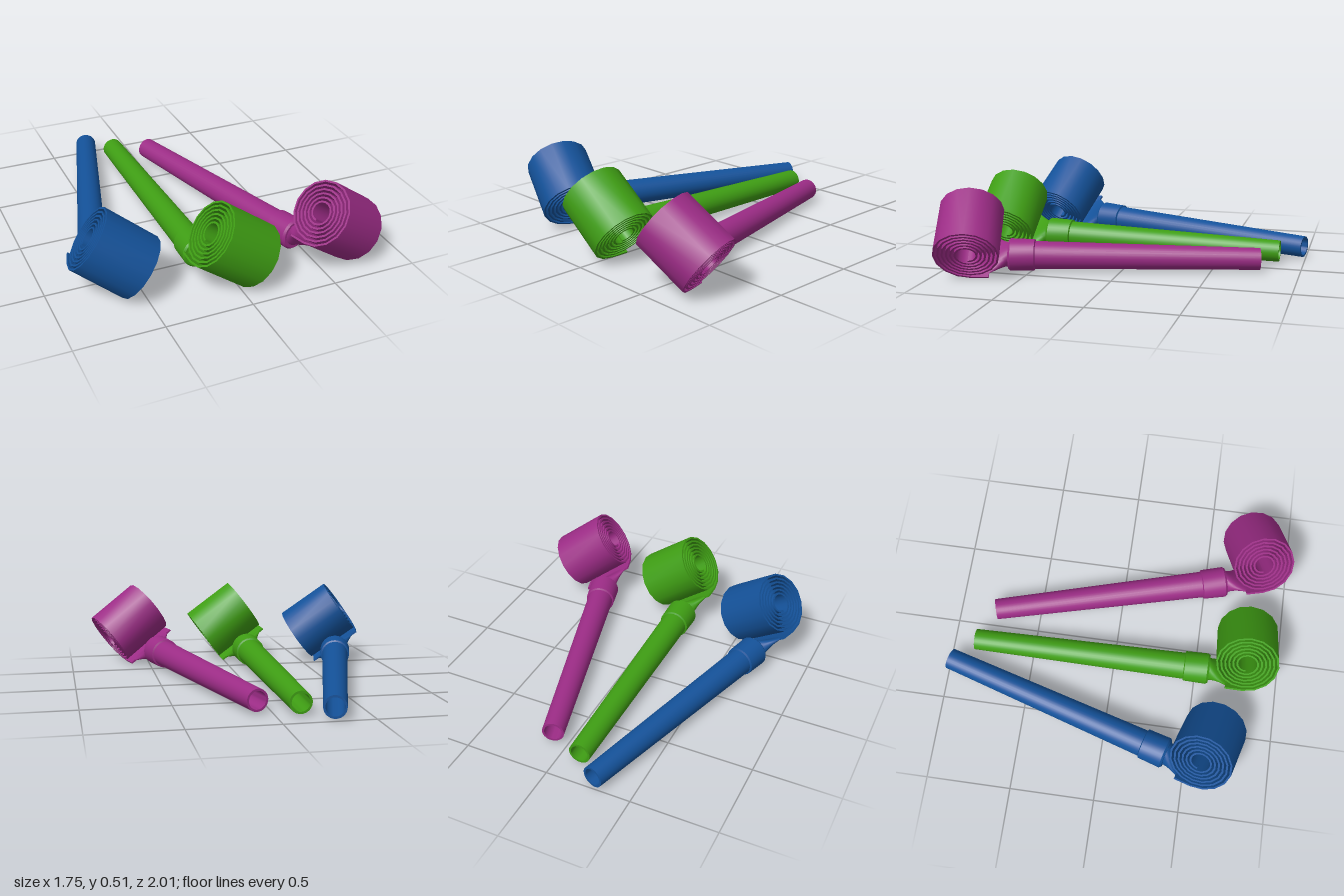
import * as THREE from 'three';
import { toCreasedNormals } from 'three/addons/utils/BufferGeometryUtils.js';

const BAND = 0.34;      // width of the rolled paper
const THICK = 0.011;    // thickness of the paper sleeve
const RADIUS = 0.19, PITCH = 0.0235, TURNS = 6, STEPS = 16;

// Hollow tapered mouthpiece with a collar; collar end at z = 0, mouth end at -z
function tubeGeometry() {
  const profile = [
    [0, 0], [0.083, 0], [0.093, 0.012], [0.09, 0.148], [0.08, 0.153],
    [0.063, 1.44], [0.051, 1.44], [0.062, 0.2], [0, 0.2],
  ].map(([r, y]) => new THREE.Vector2(r, y));
  const g = new THREE.LatheGeometry(profile, 32);
  g.rotateX(-Math.PI / 2);
  return toCreasedNormals(g, 0.5);
}

// Paper strip: short straight lead, then a spiral winding inwards
function rollGeometry() {
  const outer = [new THREE.Vector2(0.1, -THICK / 2)];
  const inner = [new THREE.Vector2(0.1, THICK / 2)];
  for (let i = 0; i <= TURNS * STEPS; i++) {
    const turn = i / STEPS;
    const a = -Math.PI / 2 + turn * Math.PI * 2;
    const r = RADIUS - PITCH * turn;
    const at = (q) => new THREE.Vector2(0.2 + q * Math.cos(a), RADIUS + q * Math.sin(a));
    outer.push(at(r + THICK / 2));
    inner.push(at(r - THICK / 2));
  }
  const shape = new THREE.Shape([...outer, ...inner.reverse()]);
  const g = new THREE.ExtrudeGeometry(shape, { depth: BAND, bevelEnabled: false });
  g.translate(0, 0, -BAND / 2);
  g.rotateY(-Math.PI / 2);
  return toCreasedNormals(g, 0.6);
}

// Neck that fans from the round collar into the flat strip
function neckGeometry() {
  const g = new THREE.CylinderGeometry(1, 1, 1, 28, 8, true);
  g.rotateX(Math.PI / 2);
  const p = g.attributes.position;
  for (let i = 0; i < p.count; i++) {
    const s = Math.min(1, Math.max(0, p.getZ(i) + 0.5));
    const w = THREE.MathUtils.lerp(0.068, BAND / 2, s);
    const h = THREE.MathUtils.lerp(THICK / 2, 0.068, Math.pow(1 - s, 1.5));
    p.setXYZ(i, p.getX(i) * w, p.getY(i) * h, s * 0.14 - 0.002);
  }
  g.computeVertexNormals();
  return g;
}

export function createModel() {
  const model = new THREE.Group();
  model.name = 'partyBlowers';
  const tubeGeo = tubeGeometry(), rollGeo = rollGeometry(), neckGeo = neckGeometry();

  const blowers = [
    { name: 'blueBlower', color: 0x14529a, x: -0.685, z: 0.39, yaw: -16.5 },
    { name: 'greenBlower', color: 0x3f9e14, x: -0.13, z: 0.58, yaw: 0 },
    { name: 'magentaBlower', color: 0x9c2c86, x: 0.455, z: 0.62, yaw: 15 },
  ];

  for (const b of blowers) {
    const mat = new THREE.MeshStandardMaterial({ color: b.color, side: THREE.DoubleSide });
    const part = (geo, name) => {
      const m = new THREE.Mesh(geo, mat);
      m.name = name;
      return m;
    };
    const blower = new THREE.Group();
    blower.name = b.name;
    blower.position.set(b.x, 0, b.z);
    blower.rotation.y = THREE.MathUtils.degToRad(b.yaw);

    // The tube rests on the ground, so its thin end dips slightly
    const tube = part(tubeGeo, 'mouthpiece');
    tube.position.y = 0.098;
    tube.rotation.x = -0.02;

    // The roll leans over sideways around the tube's axis
    const head = new THREE.Group();
    head.name = 'paperHead';
    head.position.y = 0.1;
    head.rotation.z = THREE.MathUtils.degToRad(-36);
    head.add(part(rollGeo, 'paperRoll'), part(neckGeo, 'neck'));

    blower.add(tube, head);
    model.add(blower);
  }
  return model;
}
